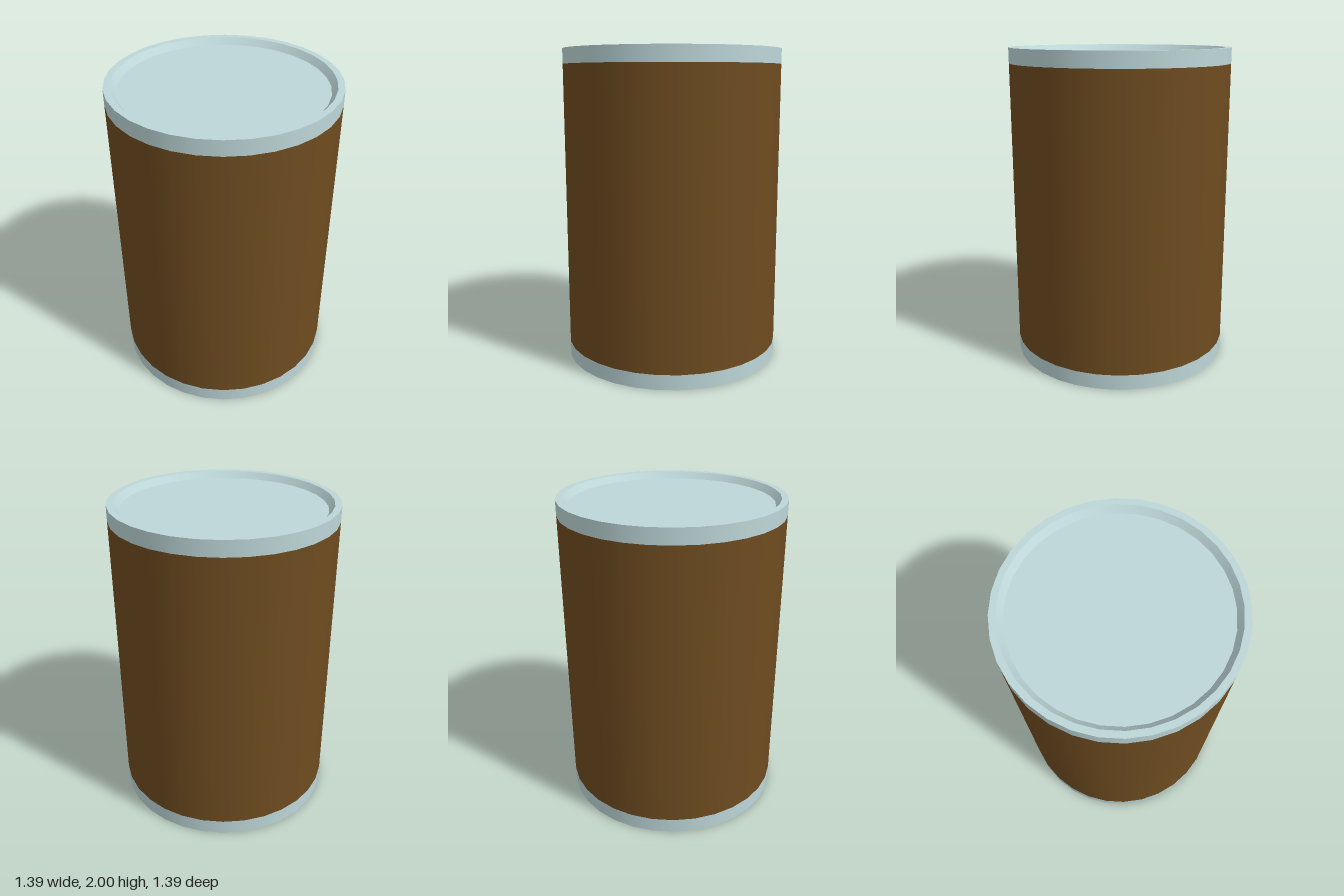
import * as THREE from 'three';
import { mergeGeometries } from 'three/addons/utils/BufferGeometryUtils.js';

const SIDES = 32;
const R = 0.695; // outer radius
const BAND = 0.095; // height of each end band

// Lathe each profile segment on its own: smooth around, sharp between segments
function turned(name, profile, material) {
  const strips = [];
  for (let i = 0; i + 1 < profile.length; i++) {
    const pair = [profile[i], profile[i + 1]].map(([r, y]) => new THREE.Vector2(r, y));
    strips.push(new THREE.LatheGeometry(pair, SIDES));
  }
  const mesh = new THREE.Mesh(mergeGeometries(strips), material);
  mesh.name = name;
  return mesh;
}

export function createModel() {
  const model = new THREE.Group();
  model.name = 'can';
  const metal = new THREE.MeshStandardMaterial({ color: 0xbdd6d8 });
  const brown = new THREE.MeshStandardMaterial({ color: 0x6e4c20 });

  // End cap from the recessed panel, over the sloped rim, to the outer band
  const cap = [[0, 0.04], [0.623, 0.04], [0.655, 0], [R, 0], [R, BAND]];
  model.add(turned('bottomCap', cap, metal));

  // Same profile mirrored for the top, reversed so it faces outwards
  const lid = cap.map(([r, y]) => [r, 2 - y]).reverse();
  model.add(turned('topCap', lid, metal));

  // Brown wall between the bands
  model.add(turned('body', [[R, BAND], [R, 2 - BAND]], brown));

  return model;
}
